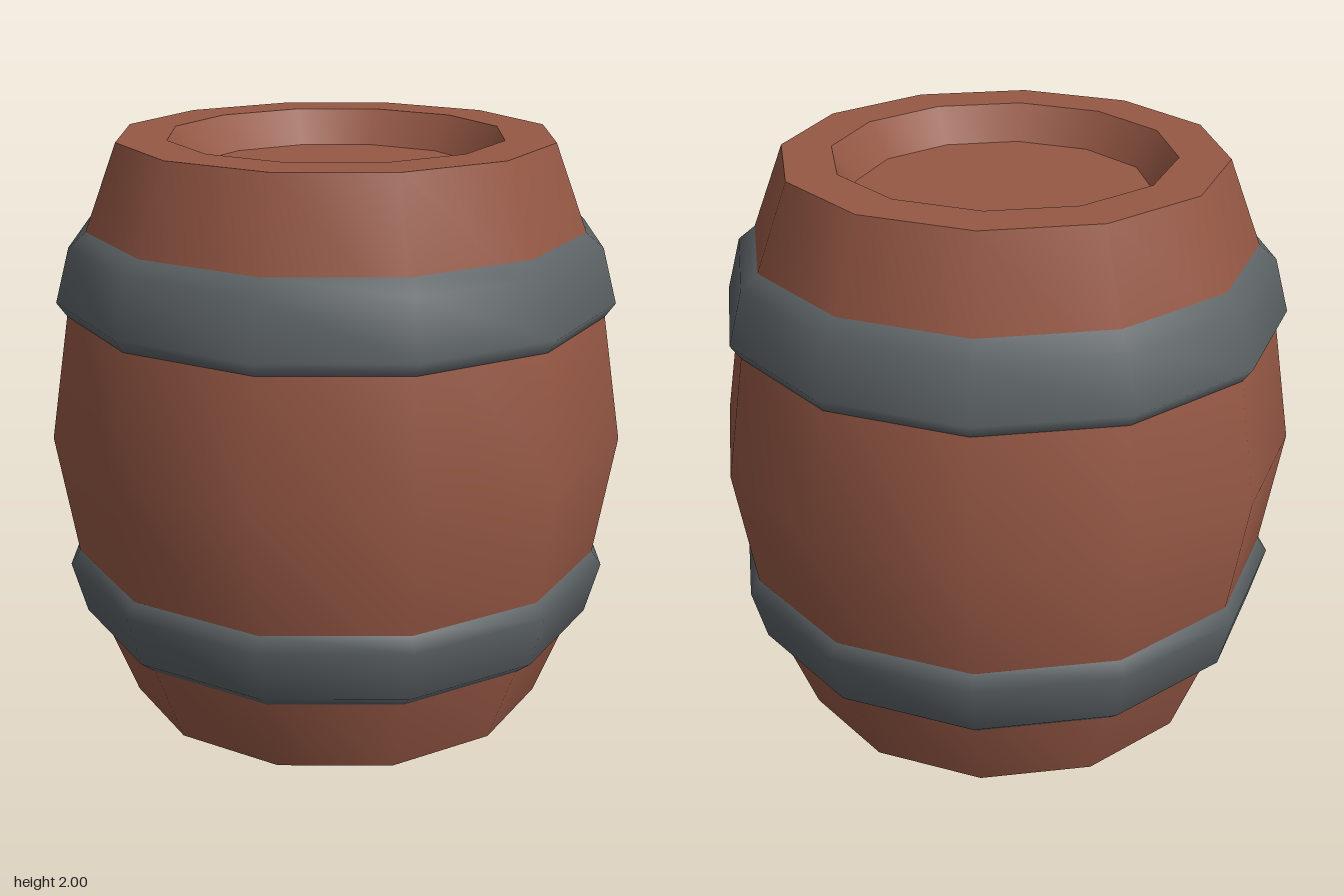
import * as THREE from 'three';

const SIDES = 12;

export function createModel() {
  const group = new THREE.Group();
  group.name = 'barrel';

  const wood = new THREE.MeshStandardMaterial({ color: 0x965845 });
  wood.name = 'brown wood';
  const iron = new THREE.MeshStandardMaterial({ color: 0x5c6265 });
  iron.name = 'grey iron';

  // Twelve-sided turned surface; profile points are [radius, height]
  function turn(name, profile, material, parent = group) {
    const points = profile.map(([r, y]) => new THREE.Vector2(r, y));
    const mesh = new THREE.Mesh(new THREE.LatheGeometry(points, SIDES), material);
    mesh.name = name;
    parent.add(mesh);
  }

  // Mirrors a profile about mid-height, keeping its outward direction
  const flip = (profile) => profile.map(([r, y]) => [r, 2 - y]).reverse();

  // Bulging stave wall, smooth from end to end
  const lowerWall = [[0.745, 0], [0.907, 0.425], [1, 1]];
  turn('staves', [...lowerWall, ...flip(lowerWall).slice(1)], wood);

  // Lower parts, repeated upside down at the top
  const parts = [
    ['Rim', [[0.575, 0], [0.745, 0]], wood],
    ['RecessWall', [[0.5, 0.12], [0.575, 0]], wood],
    ['Lid', [[0, 0.12], [0.5, 0.12]], wood],
    ['Hoop', [[0.855, 0.29], [0.915, 0.34], [0.965, 0.525], [0.93, 0.575]], iron],
  ];
  for (const [name, profile, material] of parts) {
    turn('bottom' + name, profile, material);
    turn('top' + name, flip(profile), material);
  }

  return group;
}
